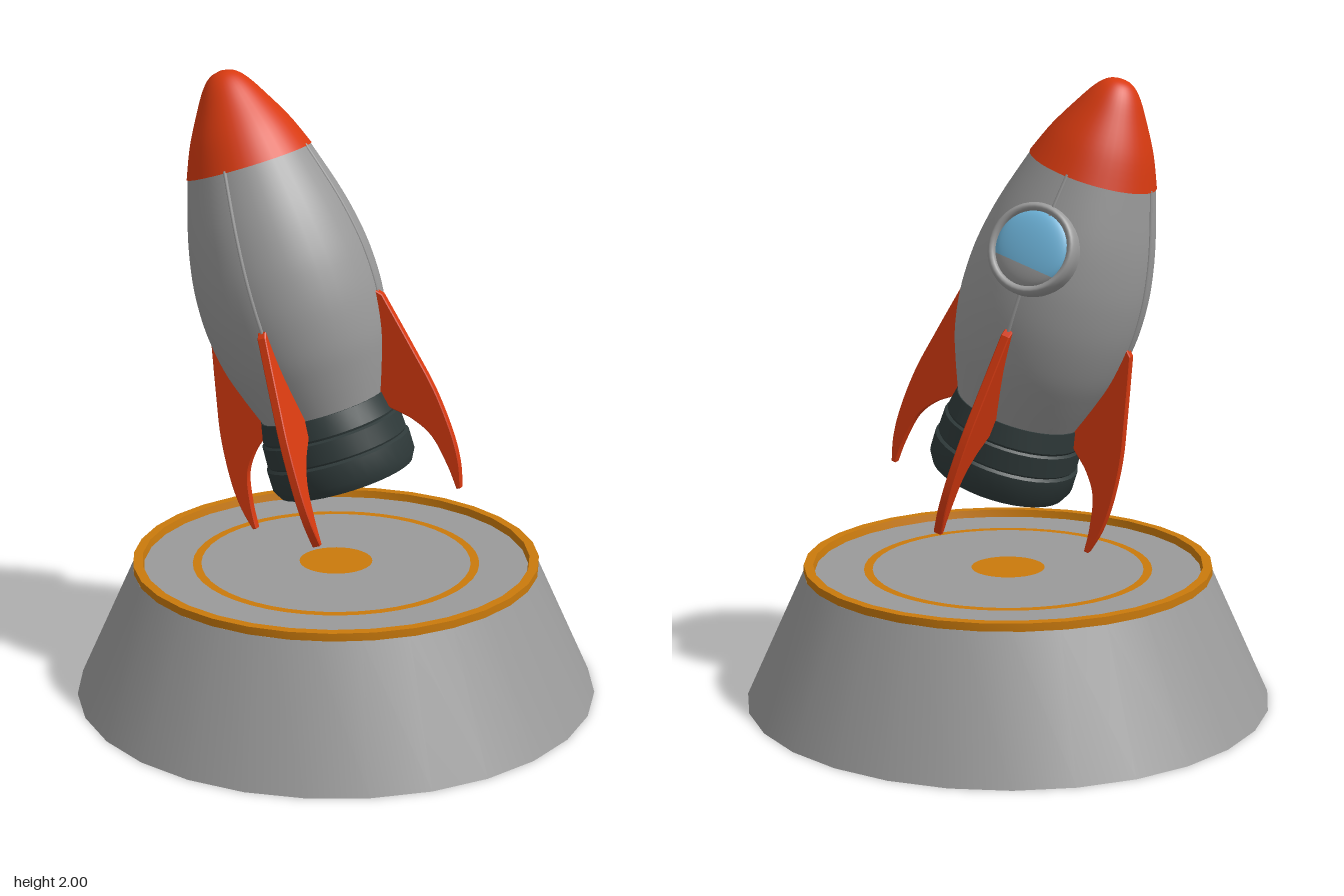
import * as THREE from 'three';
import { toCreasedNormals } from 'three/addons/utils/BufferGeometryUtils.js';

const material = (name, color) => {
  const m = new THREE.MeshStandardMaterial({ color });
  m.name = name;
  return m;
};
const vec = (list) => list.map(([x, y]) => new THREE.Vector2(x, y));
const smooth = (list, n) => new THREE.SplineCurve(vec(list)).getPoints(n);
const crisp = (points, sides) => toCreasedNormals(new THREE.LatheGeometry(points, sides), 0.6);

export function createModel() {
  const grey = material('grey metal', 0x9a9a9a);
  const red = material('red paint', 0xd83a10);
  const orange = material('orange paint', 0xca7a0c);
  const dark = material('dark nozzle', 0x2f3a3a);
  const blue = material('blue glass', 0x6cb2d8);

  const model = new THREE.Group();
  const add = (parent, name, geometry, mat) => {
    const mesh = new THREE.Mesh(geometry, mat);
    mesh.name = name;
    parent.add(mesh);
    return mesh;
  };

  // Launch pad: flared base with a recessed floor, rim and painted marks
  const pad = new THREE.Group();
  pad.name = 'launchPad';
  model.add(pad);
  add(pad, 'padBase', crisp(vec([[0, 0], [0.845, 0], [0.655, 0.42], [0, 0.42]]), 28), grey);
  add(pad, 'padRim', crisp(vec([
    [0.62, 0.415], [0.655, 0.42], [0.655, 0.445], [0.625, 0.445], [0.62, 0.415],
  ]), 32), orange);
  const mark = (name, geometry) => {
    const m = add(pad, name, geometry, orange);
    m.rotation.x = -Math.PI / 2;
    m.position.y = 0.424;
  };
  mark('padRing', new THREE.RingGeometry(0.435, 0.463, 48));
  mark('padCentre', new THREE.CircleGeometry(0.118, 32));

  // Rocket, leaning back along its front fin; local y is its long axis
  const rocket = new THREE.Group();
  rocket.name = 'rocket';
  rocket.rotation.set(-0.311, 0.66, 0, 'YXZ');
  rocket.position.set(0.033, 0.62, 0.065);
  model.add(rocket);

  const hull = smooth([
    [0.2, 0.34], [0.24, 0.45], [0.27, 0.55], [0.287, 0.67],
    [0.287, 0.78], [0.275, 0.88], [0.248, 1.0], [0.198, 1.16],
  ], 32);
  add(rocket, 'body', new THREE.LatheGeometry(hull, 40), grey);
  add(rocket, 'noseCone', new THREE.LatheGeometry(smooth([
    [0.203, 1.155], [0.163, 1.25], [0.113, 1.34], [0.072, 1.405], [0.038, 1.437], [0, 1.447],
  ], 24), 40), red);

  // Engine nozzle: stacked bands with a hollow underside
  add(rocket, 'nozzle', crisp(vec([
    [0, 0.17], [0.185, 0.17], [0.205, 0.105], [0.22, 0.105], [0.236, 0.135], [0.236, 0.2],
    [0.226, 0.207], [0.23, 0.213], [0.227, 0.277], [0.218, 0.283], [0.221, 0.29],
    [0.208, 0.352], [0.15, 0.355],
  ]), 36), dark);

  // Swept fin outline: x is the distance from the axis
  const outline = new THREE.Shape();
  outline.moveTo(0.26, 0.64);
  outline.lineTo(0.285, 0.665);
  outline.lineTo(0.3, 0.65);
  outline.splineThru(vec([[0.345, 0.46], [0.375, 0.32], [0.388, 0.18], [0.384, 0.08], [0.366, 0]]));
  outline.lineTo(0.357, 0);
  outline.splineThru(vec([[0.35, 0.08], [0.328, 0.18], [0.28, 0.25], [0.21, 0.31], [0.19, 0.36]]));
  outline.lineTo(0.23, 0.5);
  const finGeometry = new THREE.ExtrudeGeometry(outline, {
    depth: 0.022, bevelEnabled: true, bevelThickness: 0.003, bevelSize: 0.003,
    bevelSegments: 1, curveSegments: 16,
  });
  finGeometry.translate(0, 0, -0.011);

  // Four fins, each with a hull seam running above it
  const seamPath = new THREE.CatmullRomCurve3(
    hull.filter((p) => p.y > 0.5).map((p) => new THREE.Vector3(p.x - 0.001, p.y, 0)));
  const seamGeometry = new THREE.TubeGeometry(seamPath, 32, 0.006, 6);
  ['rightFin', 'frontFin', 'leftFin', 'backFin'].forEach((name, i) => {
    const angle = -i * Math.PI / 2;
    add(rocket, name, finGeometry, red).rotation.y = angle;
    add(rocket, name + 'Seam', seamGeometry, grey).rotation.y = angle;
  });

  // Porthole on the side: round frame and a domed pane, grey along its lower edge
  const turn = new THREE.Group();
  turn.name = 'porthole';
  turn.rotation.y = -0.05;
  rocket.add(turn);
  const porthole = new THREE.Group();
  porthole.name = 'portholeParts';
  porthole.position.set(0.262, 0.925, 0);
  porthole.rotation.z = 0.31;
  turn.add(porthole);
  const frame = add(porthole, 'portholeFrame', new THREE.LatheGeometry(smooth([
    [0.138, -0.08], [0.142, -0.03], [0.142, 0.005], [0.134, 0.022],
    [0.124, 0.024], [0.115, 0.014], [0.112, -0.02],
  ], 24), 40), grey);
  frame.rotation.z = -Math.PI / 2;
  const cut = 2.05;
  const pane = (name, start, length, mat) => {
    const p = add(porthole, name,
      new THREE.SphereGeometry(0.117, 32, 16, 0, Math.PI * 2, start, length), mat);
    p.scale.x = 0.25;
    p.position.x = 0.005;
  };
  pane('portholeGlass', 0, cut, blue);
  pane('portholeSill', cut, Math.PI - cut, grey);

  return model;
}
